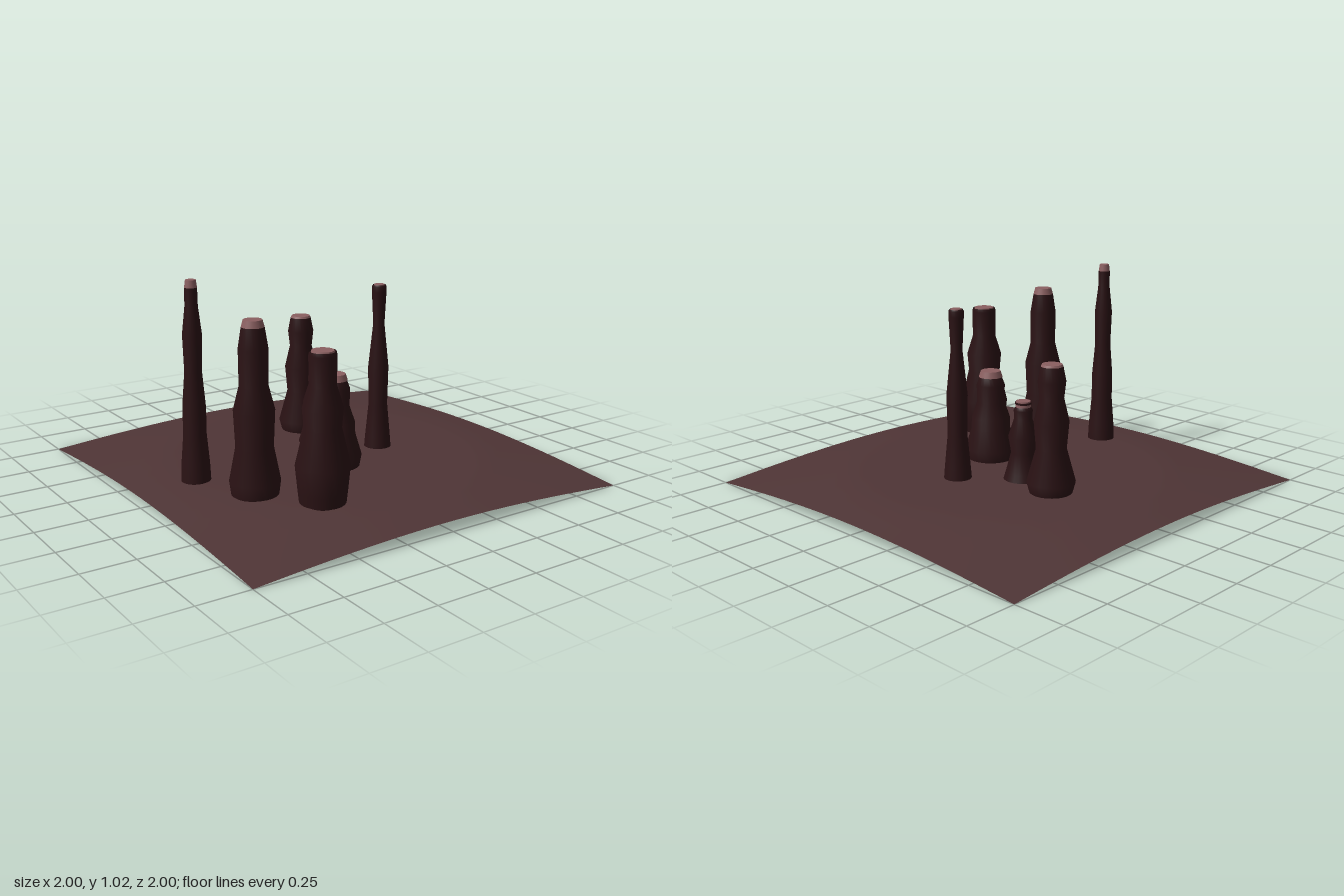
import * as THREE from 'three';

const rock = new THREE.MeshStandardMaterial({ color: 0x2a1214, side: THREE.DoubleSide });
rock.name = 'dark chimney rock';
const pale = new THREE.MeshStandardMaterial({ color: 0x8a5f60 });
pale.name = 'pale mineral';
const silt = new THREE.MeshStandardMaterial({ color: 0x4f3536, side: THREE.DoubleSide });
silt.name = 'brown seabed';

// Flat in the middle, sloping down towards the corners
const groundHeight = (x, z) => 0.078 - 0.123 * Math.max(0, Math.hypot(x, z) - 0.78);

// Each chimney: position, profile as [radius, height], pale cap as [bottom y, top y, bottom r, top r]
const chimneys = [
  { x: -0.71, z: -0.005, profile: [[0.07, 0.07], [0.066, 0.16], [0.054, 0.3], [0.054, 0.43], [0.04, 0.6], [0.045, 0.77], [0.03, 0.9], [0.029, 0.985]],
    cap: [0.985, 1.02, 0.029, 0.024] },
  { x: -0.572, z: 0.3, profile: [[0.108, 0.07], [0.117, 0.14], [0.086, 0.3], [0.094, 0.47], [0.066, 0.58], [0.067, 0.75], [0.052, 0.845]],
    cap: [0.845, 0.877, 0.052, 0.043] },
  { x: -0.377, z: 0.555, profile: [[0.105, 0.07], [0.112, 0.13], [0.124, 0.25], [0.084, 0.42], [0.092, 0.51], [0.061, 0.61], [0.063, 0.745], [0.059, 0.762]],
    cap: [0.758, 0.766, 0.052, 0.05] },
  { x: -0.055, z: 0.182, profile: [[0.118, 0.07], [0.129, 0.13], [0.098, 0.235], [0.097, 0.29], [0.07, 0.37], [0.071, 0.46], [0.056, 0.5]],
    cap: [0.5, 0.531, 0.06, 0.05] },
  { x: 0.075, z: -0.168, profile: [[0.097, 0.07], [0.085, 0.11], [0.058, 0.21], [0.072, 0.29], [0.043, 0.38], [0.046, 0.42], [0.037, 0.435]],
    cap: [0.435, 0.464, 0.037, 0.035], band: [0.449, 0.458, 0.039] },
  { x: 0.125, z: -0.395, profile: [[0.1, 0.07], [0.116, 0.13], [0.072, 0.29], [0.083, 0.42], [0.057, 0.53], [0.066, 0.61], [0.052, 0.68]],
    cap: [0.68, 0.69, 0.052, 0.047] },
  { x: 0.288, z: 0.065, profile: [[0.068, 0.07], [0.063, 0.13], [0.047, 0.3], [0.051, 0.49], [0.028, 0.71], [0.036, 0.87], [0.036, 0.897], [0.031, 0.905]],
    cap: [0.9, 0.908, 0.028, 0.026] },
];

const SIDES = 24;

function addMesh(parent, geometry, material, name) {
  const mesh = new THREE.Mesh(geometry, material);
  mesh.name = name;
  parent.add(mesh);
  return mesh;
}

function buildChimney({ x, z, profile, cap, band }) {
  const group = new THREE.Group();
  group.name = 'chimney';
  group.position.set(x, 0, z);
  // Knobbly rock column
  const points = profile.map(([r, y]) => new THREE.Vector2(r, y));
  addMesh(group, new THREE.LatheGeometry(points, SIDES), rock, 'column');
  // Pale tip
  const [y0, y1, r0, r1] = cap;
  addMesh(group, new THREE.CylinderGeometry(r1, r0, y1 - y0, SIDES), pale, 'tip')
    .position.y = (y0 + y1) / 2;
  // Dark ring around the tip
  if (band) {
    const [b0, b1, r] = band;
    addMesh(group, new THREE.CylinderGeometry(r, r, b1 - b0, SIDES), rock, 'tipRing')
      .position.y = (b0 + b1) / 2;
  }
  return group;
}

export function createModel() {
  const model = new THREE.Group();
  model.name = 'chimneyField';

  // Gently domed square of seabed
  const ground = new THREE.PlaneGeometry(2, 2, 20, 20).rotateX(-Math.PI / 2);
  const p = ground.attributes.position;
  for (let i = 0; i < p.count; i++) p.setY(i, groundHeight(p.getX(i), p.getZ(i)));
  ground.computeVertexNormals();
  addMesh(model, ground, silt, 'seabed');

  for (const spec of chimneys) model.add(buildChimney(spec));
  return model;
}
